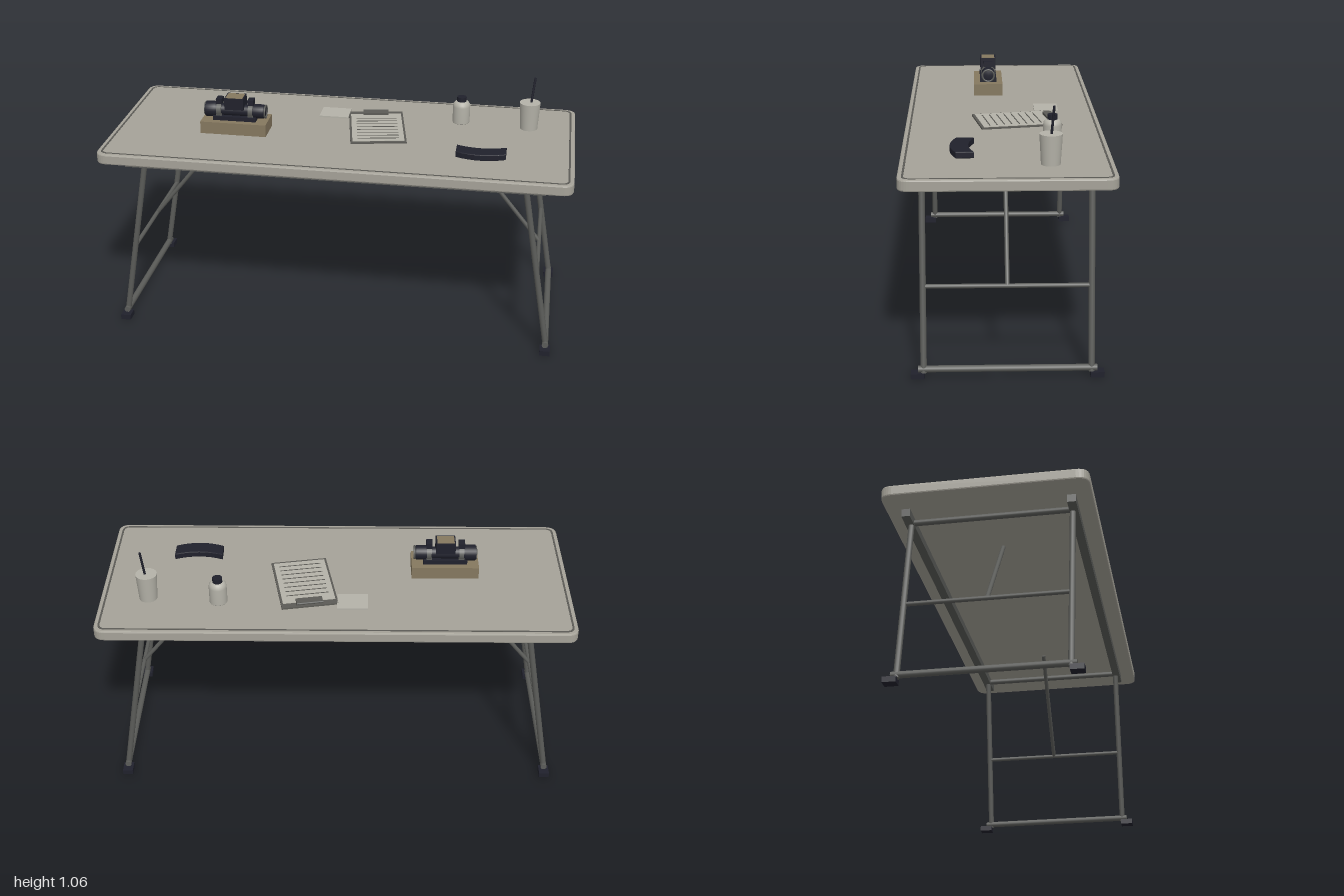
import * as THREE from 'three';

const mat = (name, color) => {
  const m = new THREE.MeshStandardMaterial({ color });
  m.name = name;
  return m;
};

export function createModel() {
  const root = new THREE.Group();
  root.name = 'fieldTable';
  const M = {
    top: mat('table grey', 0xa5a298),
    groove: mat('groove grey', 0x5c5b56),
    steel: mat('leg steel', 0x5b5c59),
    black: mat('soft black', 0x20212c),
    wood: mat('tan block', 0x85785f),
    pale: mat('pale grey', 0xb4b2a8),
  };

  const add = (name, geo, m, parent = root, x = 0, y = 0, z = 0) => {
    const mesh = new THREE.Mesh(geo, m);
    mesh.name = name;
    mesh.position.set(x, y, z);
    parent.add(mesh);
    return mesh;
  };
  const box = (name, m, w, h, d, x, y, z, parent = root) =>
    add(name, new THREE.BoxGeometry(w, h, d), m, parent, x, y, z);
  const rod = (name, m, a, b, r, parent = root, sides = 12) => {
    const A = new THREE.Vector3(...a), B = new THREE.Vector3(...b);
    const dir = B.clone().sub(A);
    const mesh = add(name, new THREE.CylinderGeometry(r, r, dir.length(), sides), m, parent);
    mesh.position.copy(A).add(B).multiplyScalar(0.5);
    mesh.quaternion.setFromUnitVectors(new THREE.Vector3(0, 1, 0), dir.normalize());
    return mesh;
  };
  const group = (name, x = 0, y = 0, z = 0) => {
    const g = new THREE.Group();
    g.name = name;
    g.position.set(x, y, z);
    root.add(g);
    return g;
  };
  const lathe = (pts, sides = 28) =>
    new THREE.LatheGeometry(pts.map(p => new THREE.Vector2(...p)), sides);

  // Rounded rectangle, drawn on any path
  const roundRect = (p, w, d, r) => {
    const x = w / 2, y = d / 2;
    p.moveTo(-x + r, -y);
    p.lineTo(x - r, -y).quadraticCurveTo(x, -y, x, -y + r);
    p.lineTo(x, y - r).quadraticCurveTo(x, y, x - r, y);
    p.lineTo(-x + r, y).quadraticCurveTo(-x, y, -x, y - r);
    p.lineTo(-x, -y + r).quadraticCurveTo(-x, -y, -x + r, -y);
    return p;
  };
  const slab = (shape, depth, bevel = 0) => new THREE.ExtrudeGeometry(shape, {
    depth: depth - 2 * bevel, bevelEnabled: bevel > 0, bevelThickness: bevel,
    bevelSize: bevel, bevelOffset: -bevel, bevelSegments: 2, curveSegments: 8,
  }).translate(0, 0, bevel).rotateX(-Math.PI / 2);

  // Table top with a thin groove just inside its edge
  add('tableTop', slab(roundRect(new THREE.Shape(), 2, 0.83, 0.05), 0.046, 0.006), M.top, root, 0, 0.779, 0);
  const ring = roundRect(new THREE.Shape(), 1.966, 0.796, 0.035);
  ring.holes.push(roundRect(new THREE.Path(), 1.95, 0.78, 0.03));
  add('edgeGroove', slab(ring, 0.001), M.groove, root, 0, 0.825, 0);

  // Long rails under the top
  for (const s of [-1, 1]) box('underRail', M.steel, 1.78, 0.034, 0.035, 0, 0.763, s * 0.333);

  // Folding leg frames at both ends
  for (const s of [-1, 1]) {
    const frame = group(s < 0 ? 'rightLegFrame' : 'leftLegFrame');
    for (const t of [-1, 1]) {
      rod('leg', M.steel, [s * 0.807, 0.77, t * 0.328], [s * 0.936, 0.02, t * 0.328], 0.0125, frame);
      box('foot', M.black, 0.044, 0.023, 0.054, s * 0.933, 0.0115, t * 0.351, frame);
    }
    rod('topBar', M.steel, [s * 0.809, 0.759, -0.325], [s * 0.809, 0.759, 0.325], 0.0125, frame);
    rod('middleBar', M.steel, [s * 0.877, 0.358, -0.325], [s * 0.877, 0.358, 0.325], 0.009, frame);
    rod('footBar', M.steel, [s * 0.933, 0.035, -0.35], [s * 0.933, 0.035, 0.35], 0.0135, frame);
    rod('brace', M.steel, [s * 0.548, 0.765, 0], [s * 0.877, 0.358, 0], 0.009, frame);
  }

  // Optical sight on a block
  const sight = group('sight', -0.47, 0.825, 0.054);
  box('block', M.wood, 0.29, 0.054, 0.132, 0, 0.027, 0, sight);
  box('sightBase', M.black, 0.19, 0.018, 0.076, 0, 0.063, 0, sight);
  const barrel = add('barrel', lathe([
    [0, -0.135], [0.026, -0.135], [0.034, -0.13], [0.034, -0.09], [0.026, -0.075], [0.026, 0.07],
    [0.031, 0.08], [0.031, 0.125], [0.026, 0.132], [0, 0.132],
  ]), M.black, sight, 0, 0.092, 0);
  barrel.rotation.z = -Math.PI / 2;
  for (const s of [-1, 1]) {
    const band = add('mountRing', new THREE.CylinderGeometry(0.034, 0.034, 0.02, 20), M.steel, sight, s * 0.07, 0.092, 0);
    band.rotation.z = Math.PI / 2;
    box('ringClamp', M.black, 0.026, 0.024, 0.04, s * 0.07, 0.134, 0, sight);
    box('ringFoot', M.steel, 0.024, 0.02, 0.06, s * 0.07, 0.07, 0, sight);
    const lens = add('lensRim', new THREE.TorusGeometry(0.027, 0.004, 6, 24), M.steel, sight, s * 0.133, 0.092, 0);
    lens.rotation.y = Math.PI / 2;
  }
  box('housing', M.black, 0.084, 0.052, 0.072, 0, 0.13, 0, sight);
  box('housingTop', M.wood, 0.074, 0.002, 0.06, 0, 0.1565, 0, sight);

  // Clipboard with a ruled sheet
  const board = group('clipboard', 0.138, 0.825, -0.06);
  board.rotation.y = 0.175;
  box('backing', M.groove, 0.242, 0.007, 0.348, 0, 0.0035, 0, board);
  box('sheet', M.pale, 0.224, 0.002, 0.306, 0, 0.008, 0.01, board);
  for (let i = 0; i < 8; i++)
    box('ruledLine', M.groove, 0.18, 0.001, 0.005, 0, 0.0093, -0.09 + i * 0.032, board);
  box('clip', M.groove, 0.112, 0.012, 0.036, 0, 0.013, -0.146, board);
  rod('clipBar', M.steel, [-0.056, 0.016, -0.165], [0.056, 0.016, -0.165], 0.004, board);

  // Loose note pad
  box('notePad', M.pale, 0.13, 0.007, 0.106, -0.07, 0.8285, -0.197);

  // Small bottle
  const bottle = group('bottle', 0.497, 0.825, -0.192);
  add('bottleBody', lathe([
    [0, 0], [0.036, 0], [0.038, 0.003], [0.038, 0.076], [0.036, 0.088], [0.029, 0.097], [0.02, 0.1], [0, 0.1],
  ]), M.pale, bottle);
  add('bottleCap', new THREE.CylinderGeometry(0.021, 0.021, 0.02, 16), M.black, bottle, 0, 0.11, 0);

  // Lidded cup and straw
  const cup = group('cup', 0.797, 0.825, -0.168);
  add('cupBody', new THREE.CylinderGeometry(0.045, 0.038, 0.121, 32), M.pale, cup, 0, 0.0605, 0);
  rod('straw', M.black, [0.003, 0.1, 0], [0.016, 0.232, -0.01], 0.005, cup, 8);

  // Curved magazine lying flat
  const curve = new THREE.Shape();
  curve.moveTo(-0.105, -0.125).quadraticCurveTo(0, -0.17, 0.105, -0.125);
  curve.lineTo(0.105, -0.198).quadraticCurveTo(0, -0.246, -0.105, -0.198);
  curve.closePath();
  add('magazine', slab(curve, 0.027, 0.003), M.black, root, 0.61, 0.825, 0);
  return root;
}
